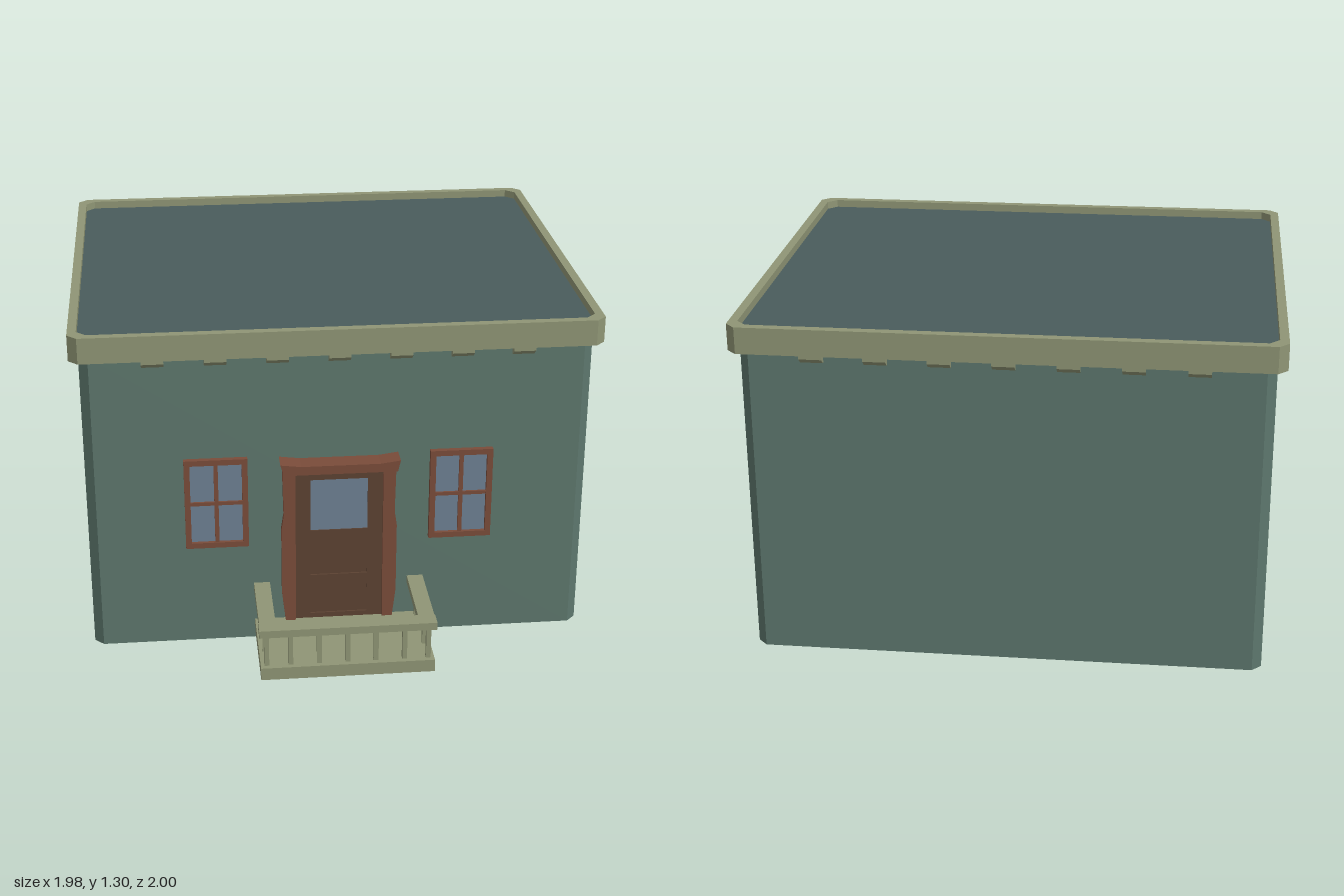
import * as THREE from 'three';

const mat = (color) => new THREE.MeshStandardMaterial({ color, flatShading: true });

export function createModel() {
  const house = new THREE.Group();
  house.name = 'house';
  const wall = mat(0x5d776d), roofMat = mat(0x4a5c5c), trim = mat(0x8f9575);
  const wood = mat(0x7a4c3a), doorMat = mat(0x5c4232), glass = mat(0x6e8093);
  const CZ = -0.162, FRONT = 0.635;

  const add = (parent, name, geometry, material) => {
    const mesh = new THREE.Mesh(geometry, material);
    mesh.name = name;
    parent.add(mesh);
    return mesh;
  };
  const group = (name) => {
    const g = new THREE.Group();
    g.name = name;
    house.add(g);
    return g;
  };
  // Box given by its minimum and maximum corners
  const box = (parent, name, material, x0, x1, y0, y1, z0, z1) => {
    const mesh = add(parent, name, new THREE.BoxGeometry(x1 - x0, y1 - y0, z1 - z0), material);
    mesh.position.set((x0 + x1) / 2, (y0 + y1) / 2, (z0 + z1) / 2);
    return mesh;
  };
  // Rectangle with cut corners
  const cutRect = (hx, hz, c) => [
    [hx, -hz + c], [hx, hz - c], [hx - c, hz], [-hx + c, hz],
    [-hx, hz - c], [-hx, -hz + c], [-hx + c, -hz], [hx - c, -hz],
  ].map(([x, y]) => new THREE.Vector2(x, y));
  const slab = (name, material, outer, inner, y0, y1) => {
    const shape = new THREE.Shape(outer);
    if (inner) shape.holes.push(new THREE.Path(inner));
    const geo = new THREE.ExtrudeGeometry(shape, { depth: y1 - y0, bevelEnabled: false });
    geo.rotateX(-Math.PI / 2).translate(0, y0, CZ);
    return add(house, name, geo, material);
  };

  // Walls, flat roof and cornice
  slab('walls', wall, cutRect(0.955, 0.796, 0.035), null, 0, 1.21);
  slab('roof', roofMat, cutRect(0.965, 0.807, 0.035), null, 1.21, 1.27);
  slab('cornice', trim, cutRect(0.99, 0.836, 0.036), cutRect(0.957, 0.803, 0.036), 1.2, 1.3);
  slab('soffit', trim, cutRect(0.985, 0.83, 0.036), null, 1.2, 1.209);

  // Brackets under the cornice on all four sides
  const brackets = group('brackets');
  const profile = new THREE.Shape([
    [-0.01, 0.002], [-0.01, -0.035], [0.008, -0.035], [0.034, -0.014], [0.034, 0.002],
  ].map(([x, y]) => new THREE.Vector2(x, y)));
  const bracketGeo = new THREE.ExtrudeGeometry(profile, { depth: 0.082, bevelEnabled: false });
  bracketGeo.translate(0, 0, -0.041);
  for (let side = 0; side < 4; side++) {
    const row = new THREE.Group();
    row.name = 'bracketRow';
    row.position.set(0, 1.2, CZ);
    row.rotation.y = side * Math.PI / 2;
    for (let i = -3; i <= 3; i++) {
      const b = add(row, 'bracket', bracketGeo, trim);
      b.position.set(side % 2 ? 0.796 : 0.955, 0, i * 0.229);
    }
    brackets.add(row);
  }

  // Windows: frame, cross bars and glass
  for (const cx of [-0.467, 0.467]) {
    const w = group(cx > 0 ? 'leftWindow' : 'rightWindow');
    const x0 = cx - 0.12, x1 = cx + 0.12, y0 = 0.415, y1 = 0.785, t = 0.022;
    box(w, 'glass', glass, x0 + 0.01, x1 - 0.01, y0 + 0.01, y1 - 0.01, 0.62, 0.641);
    for (const x of [x0, x1 - t]) box(w, 'frameSide', wood, x, x + t, y0, y1, 0.62, 0.655);
    for (const y of [y0, y1 - t]) box(w, 'frameEnd', wood, x0 + t, x1 - t, y, y + t, 0.62, 0.655);
    box(w, 'upright', wood, cx - 0.008, cx + 0.008, y0 + t, y1 - t, 0.63, 0.65);
    box(w, 'crossbar', wood, x0 + t, x1 - t, 0.593, 0.607, 0.63, 0.649);
  }

  // Door with raised stiles and rails around the pane and lower panels
  const door = group('door');
  box(door, 'panel', doorMat, -0.17, 0.17, 0.02, 0.735, 0.62, 0.638);
  for (const s of [-1, 1]) {
    box(door, 'stile', doorMat, s * 0.14 - 0.03, s * 0.14 + 0.03, 0.02, 0.735, 0.625, 0.645);
  }
  for (const [y0, y1] of [[0.02, 0.1], [0.22, 0.27], [0.39, 0.465], [0.68, 0.735]]) {
    box(door, 'rail', doorMat, -0.11, 0.11, y0, y1, 0.625, 0.645);
  }
  box(door, 'pane', glass, -0.11, 0.11, 0.465, 0.68, 0.625, 0.641);

  // Door surround: slightly waisted posts, threshold and sagging lintel
  const surround = group('doorSurround');
  for (const s of [-1, 1]) {
    const pts = [[0.17, 0], [0.2, 0], [0.222, 0.2], [0.222, 0.48], [0.213, 0.54], [0.217, 0.74], [0.168, 0.74], [0.168, 0.25]];
    const shape = new THREE.Shape(pts.map(([x, y]) => new THREE.Vector2(s * x, y)));
    const geo = new THREE.ExtrudeGeometry(shape, { depth: 0.035, bevelEnabled: false });
    add(surround, 'post', geo.translate(0, 0, 0.622), wood);
  }
  box(surround, 'threshold', wood, -0.17, 0.17, 0, 0.03, 0.62, 0.655);
  const lintel = new THREE.Shape([
    [-0.215, 0.735], [0.215, 0.735], [0.225, 0.78], [0.15, 0.77], [-0.15, 0.77], [-0.228, 0.78],
  ].map(([x, y]) => new THREE.Vector2(x, y)));
  const lintelGeo = new THREE.ExtrudeGeometry(lintel, { depth: 0.09, bevelEnabled: false });
  add(surround, 'lintel', lintelGeo.translate(0, 0, 0.622), wood);

  // Porch: deck, handrail and balusters
  const porch = group('porch');
  box(porch, 'deck', trim, -0.328, 0.328, 0.03, 0.08, FRONT - 0.01, 0.998);
  box(porch, 'frontRail', trim, -0.333, 0.333, 0.212, 0.242, 0.938, 1);
  for (const s of [-1, 1]) {
    box(porch, 'sideRail', trim, s * 0.299 - 0.031, s * 0.299 + 0.031, 0.212, 0.242, FRONT - 0.01, 0.938);
  }
  const baluster = (x, z) => box(porch, 'baluster', trim, x - 0.009, x + 0.009, 0.08, 0.212, z - 0.009, z + 0.009);
  for (const x of [-0.305, -0.215, -0.107, 0, 0.107, 0.215, 0.305]) baluster(x, 0.97);
  for (const z of [0.66, 0.765, 0.87]) for (const x of [-0.305, 0.305]) baluster(x, z);

  return house;
}
